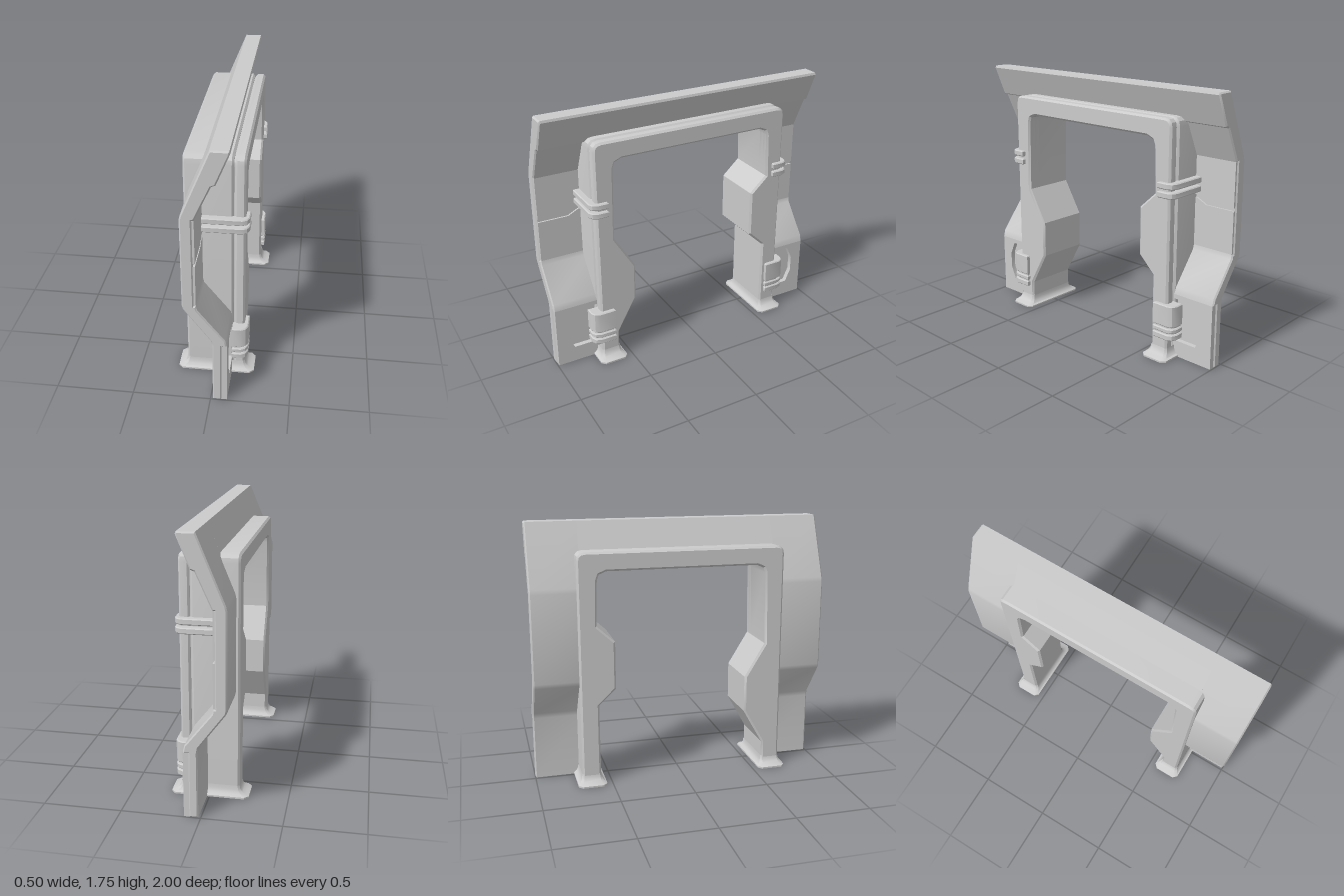
import * as THREE from 'three';
import { toCreasedNormals } from 'three/addons/utils/BufferGeometryUtils.js';

const material = new THREE.MeshStandardMaterial({ color: 0xcccccc });
const thinMaterial = new THREE.MeshStandardMaterial({ color: 0xcccccc, side: THREE.DoubleSide });

// Chamfered extrusion that keeps the given outline and total depth
function extrude(points, depth, bevel) {
  const shape = new THREE.Shape(points.map(([x, y]) => new THREE.Vector2(x, y)));
  const geometry = new THREE.ExtrudeGeometry(shape, {
    depth: depth - 2 * bevel,
    bevelEnabled: bevel > 0,
    bevelThickness: bevel,
    bevelSize: bevel,
    bevelOffset: -bevel,
    bevelSegments: 1,
  });
  return geometry.translate(0, 0, bevel);
}

function addMesh(parent, name, geometry, mat = material) {
  const mesh = new THREE.Mesh(toCreasedNormals(geometry, 0.5), mat);
  mesh.name = name;
  parent.add(mesh);
}

// Outline in (x, y), running along z
const alongZ = (points, z0, z1, bevel = 0) =>
  extrude(points, z1 - z0, bevel).translate(0, 0, z0);

// Outline in (z, y), running along x
const alongX = (points, x0, x1, bevel = 0) =>
  extrude(points.map(([z, y]) => [-z, y]), x1 - x0, bevel).rotateY(Math.PI / 2).translate(x0, 0, 0);

// Outline in (x, z), running along y
const alongY = (points, y0, y1, bevel = 0) =>
  extrude(points.map(([x, z]) => [x, -z]), y1 - y0, bevel).rotateX(-Math.PI / 2).translate(0, y0, 0);

// Door frame outline in (z, y); inset shrinks only the outer edge
function archOutline(inset) {
  const z = 0.7 - inset, y = 1.57 - inset, base = 0.035;
  return [
    [z, base], [z, y - 0.055], [z - 0.006, y - 0.025], [z - 0.025, y - 0.006], [z - 0.055, y],
    [-z + 0.055, y], [-z + 0.025, y - 0.006], [-z + 0.006, y - 0.025], [-z, y - 0.055], [-z, base],
    // inner edge with the bulge of the rear jamb
    [-0.575, base], [-0.575, 0.55], [-0.46, 0.66], [-0.46, 0.98], [-0.58, 1.09],
    [-0.57, 1.39], [-0.557, 1.425], [-0.51, 1.445],
    // inner edge with the bulge of the front jamb
    [0.51, 1.445], [0.557, 1.425], [0.57, 1.39], [0.58, 0.9],
    [0.44, 0.67], [0.44, 0.42], [0.575, 0.18], [0.575, base],
  ];
}

// Flared hollow foot lofted from chamfered rectangles
function footGeometry(side) {
  const levels = [[0, 0.075], [0.08, 0.05], [0.3, 0.032], [0.65, 0.02], [1, 0.011], [1, 0]];
  const positions = [], index = [];
  for (const [t, y] of levels) {
    const hx = 0.188 + 0.062 * t, hz = 0.065 + 0.032 * t, c = 0.012 + 0.015 * t;
    const ring = [
      [hx, hz - c], [hx - c, hz], [-hx + c, hz], [-hx, hz - c],
      [-hx, -hz + c], [-hx + c, -hz], [hx - c, -hz], [hx, -hz + c],
    ];
    for (const [x, z] of ring) positions.push(x, y, z + side * 0.6375);
  }
  for (let i = 0; i < levels.length - 1; i++) {
    for (let j = 0; j < 8; j++) {
      const a = i * 8 + j, b = i * 8 + (j + 1) % 8;
      index.push(a, b, a + 8, b, b + 8, a + 8);
    }
  }
  const geometry = new THREE.BufferGeometry();
  geometry.setAttribute('position', new THREE.Float32BufferAttribute(positions, 3));
  geometry.setIndex(index);
  geometry.computeVertexNormals();
  return geometry;
}

// L-shaped band wrapping the outer corner of a jamb
function band(side, xStart, zOut, zIn, xOut, y0, y1, bevel = 0.006) {
  const points = [
    [xStart, 0.685], [xStart, zOut], [xOut - 0.045, zOut], [xOut - 0.015, zOut - 0.015],
    [xOut, zOut - 0.045], [xOut, zIn], [0.165, zIn], [0.165, 0.685],
  ];
  return alongY(points.map(([x, z]) => [x, side * z]), y0, y1, bevel);
}

export function createModel() {
  const model = new THREE.Group();
  model.name = 'doorway';

  // Door frame: wide body, front trim and the recessed core of the seam
  const frame = new THREE.Group();
  frame.name = 'doorFrame';
  model.add(frame);
  addMesh(frame, 'frameBody', alongX(archOutline(0), -0.19, 0.112, 0.013));
  addMesh(frame, 'frameTrim', alongX(archOutline(0), 0.118, 0.185, 0.013));
  addMesh(frame, 'frameSeam', alongX(archOutline(0.018), 0.09, 0.14));

  // Bent wall panel, with recesses later filled by cover plates
  const wallProfile = [
    [0.015, 0], [0.072, 0], [0.072, 0.43], [0.105, 0.43], [0.095, 0.475],
    [-0.073, 0.69], [-0.08, 0.72], [-0.092, 0.72], [-0.092, 1.31], [-0.08, 1.31],
    [0.02, 1.53], [0.045, 1.54], [0.125, 1.735], [0.12, 1.75], [0.012, 1.75],
    [-0.158, 1.34], [-0.165, 1.31], [-0.165, 0.72], [-0.158, 0.69], [0.008, 0.465], [0.015, 0.43],
  ];
  const headerProfile = [
    [0.006, 1.5], [0.02, 1.53], [0.045, 1.54], [0.125, 1.735], [0.12, 1.75], [0.012, 1.75], [-0.092, 1.5],
  ];
  const wall = new THREE.Group();
  wall.name = 'wall';
  model.add(wall);
  addMesh(wall, 'wallHeader', alongZ(headerProfile, -0.665, 0.665));

  // Cover plates in (z, y): split by a thin seam above, notched around the bracket below
  const upperPlate = [[0.992, 1.02], [0.992, 1.31], [0.68, 1.31], [0.68, 1.06], [0.72, 1.055], [0.79, 1.02]];
  const middlePlate = [[0.992, 0.72], [0.992, 1.0], [0.785, 1.0], [0.715, 1.035], [0.68, 1.04], [0.68, 0.72]];
  const lowerPlate = [
    [0.992, 0], [0.992, 0.43], [0.68, 0.43], [0.68, 0.4], [0.87, 0.4],
    [0.91, 0.31], [0.91, 0.2], [0.87, 0.11], [0.68, 0.11], [0.68, 0],
  ];

  for (const side of [1, -1]) {
    const end = side > 0 ? 'Front' : 'Rear';
    const flip = (points) => points.map(([z, y]) => [side * z, y]);

    addMesh(wall, 'wallPanel' + end, alongZ(wallProfile, side > 0 ? 0.65 : -1, side > 0 ? 1 : -0.65, 0.009));
    addMesh(wall, 'upperPlate' + end, alongX(flip(upperPlate), -0.1, -0.08));
    addMesh(wall, 'middlePlate' + end, alongX(flip(middlePlate), -0.1, -0.08));
    addMesh(wall, 'lowerPlate' + end, alongX(flip(lowerPlate), 0.06, 0.105));

    addMesh(frame, 'foot' + end, footGeometry(side), thinMaterial);

    // Two straps high on the jamb
    for (const y of [1.08, 1.138]) {
      addMesh(frame, 'strap' + end, band(side, -0.085, 0.742, 0.62, 0.21, y, y + 0.04));
    }

    // Low bracket: block, two ribs and their backing
    addMesh(frame, 'bracketBlock' + end, band(side, 0.108, 0.766, 0.605, 0.21, 0.238, 0.383));
    addMesh(frame, 'bracketRib' + end, band(side, 0.108, 0.766, 0.605, 0.21, 0.195, 0.226));
    addMesh(frame, 'bracketRib' + end, band(side, 0.108, 0.766, 0.605, 0.21, 0.145, 0.185));
    addMesh(frame, 'bracketBacking' + end, band(side, 0.108, 0.752, 0.615, 0.198, 0.155, 0.3, 0));
  }
  return model;
}
